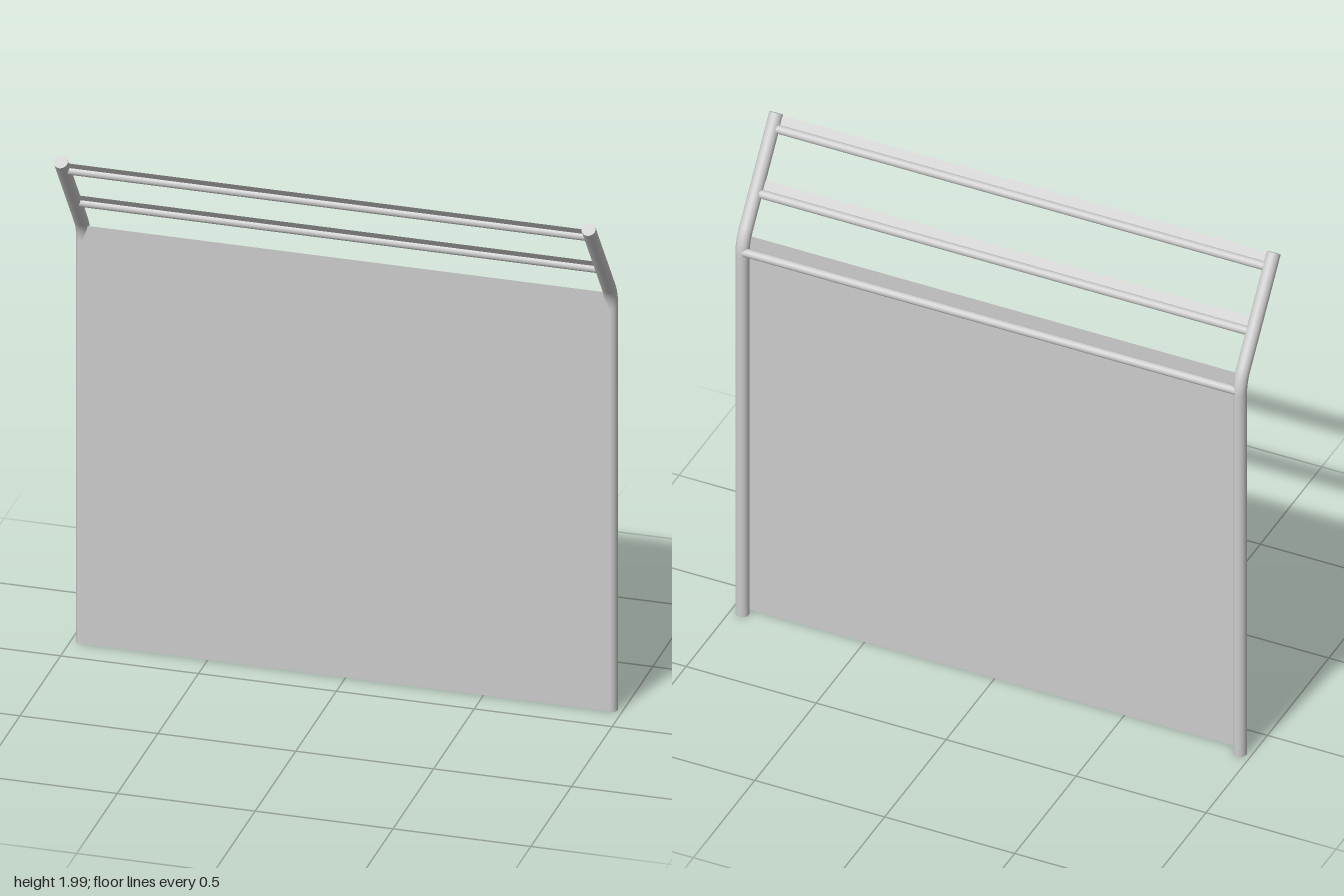
import * as THREE from 'three';

export function createModel() {
  const model = new THREE.Group();
  const mat = new THREE.MeshStandardMaterial({ color: 0xcccccc, side: THREE.DoubleSide });
  const add = (name, geometry, parent = model) => {
    const mesh = new THREE.Mesh(geometry, mat);
    mesh.name = name;
    parent.add(mesh);
    return mesh;
  };

  const X = 0.957, R = 0.025, POST_Z = -0.133;
  const corner = new THREE.Vector3(0, 1.604, POST_Z);
  const tip = new THREE.Vector3(0, 1.98, 0.143);
  const dir = tip.clone().sub(corner).normalize();
  const tilt = Math.atan2(dir.z, dir.y);
  const BEND = 0.05;

  // Round bar between two points
  const bar = (name, a, b, r, parent) => {
    const mesh = add(name, new THREE.CylinderGeometry(r, r, a.distanceTo(b), 24), parent);
    mesh.position.copy(a).add(b).multiplyScalar(0.5);
    mesh.quaternion.setFromUnitVectors(new THREE.Vector3(0, 1, 0), b.clone().sub(a).normalize());
  };

  // Side posts: upright, rounded bend and arm leaning forward
  for (const side of [1, -1]) {
    const post = new THREE.Group();
    post.name = side > 0 ? 'leftPost' : 'rightPost';
    post.position.x = side * X;
    const bendStart = new THREE.Vector3(0, corner.y - BEND, POST_Z);
    const bendEnd = corner.clone().addScaledVector(dir, BEND);
    bar('upright', new THREE.Vector3(0, 0, POST_Z), bendStart, R, post);
    const curve = new THREE.QuadraticBezierCurve3(bendStart, corner, bendEnd);
    add('bend', new THREE.TubeGeometry(curve, 10, R, 24), post);
    bar('arm', bendEnd, tip, R, post);
    model.add(post);
  }

  // Mesh panel on the front of the uprights
  const panel = add('panel', new THREE.PlaneGeometry(2 * X, 1.617));
  panel.position.set(0, 0.003 + 1.617 / 2, POST_Z + R);

  // Cross rails
  const rail = (name, y, z) =>
    bar(name, new THREE.Vector3(-X, y, z), new THREE.Vector3(X, y, z), 0.016);
  rail('lowerRail', 1.57, -0.141);

  // Arm rails, each with a narrow strip rising from it along the arm
  for (const [name, y] of [['middle', 1.749], ['upper', 1.937]]) {
    const z = corner.z + (y - corner.y) * Math.tan(tilt);
    rail(name + 'Rail', y, z);
    const length = 0.05;
    const strip = add(name + 'Strip', new THREE.PlaneGeometry(2 * X, length));
    strip.position.set(0, y, z).addScaledVector(dir, length / 2);
    strip.rotation.x = tilt;
  }
  return model;
}
